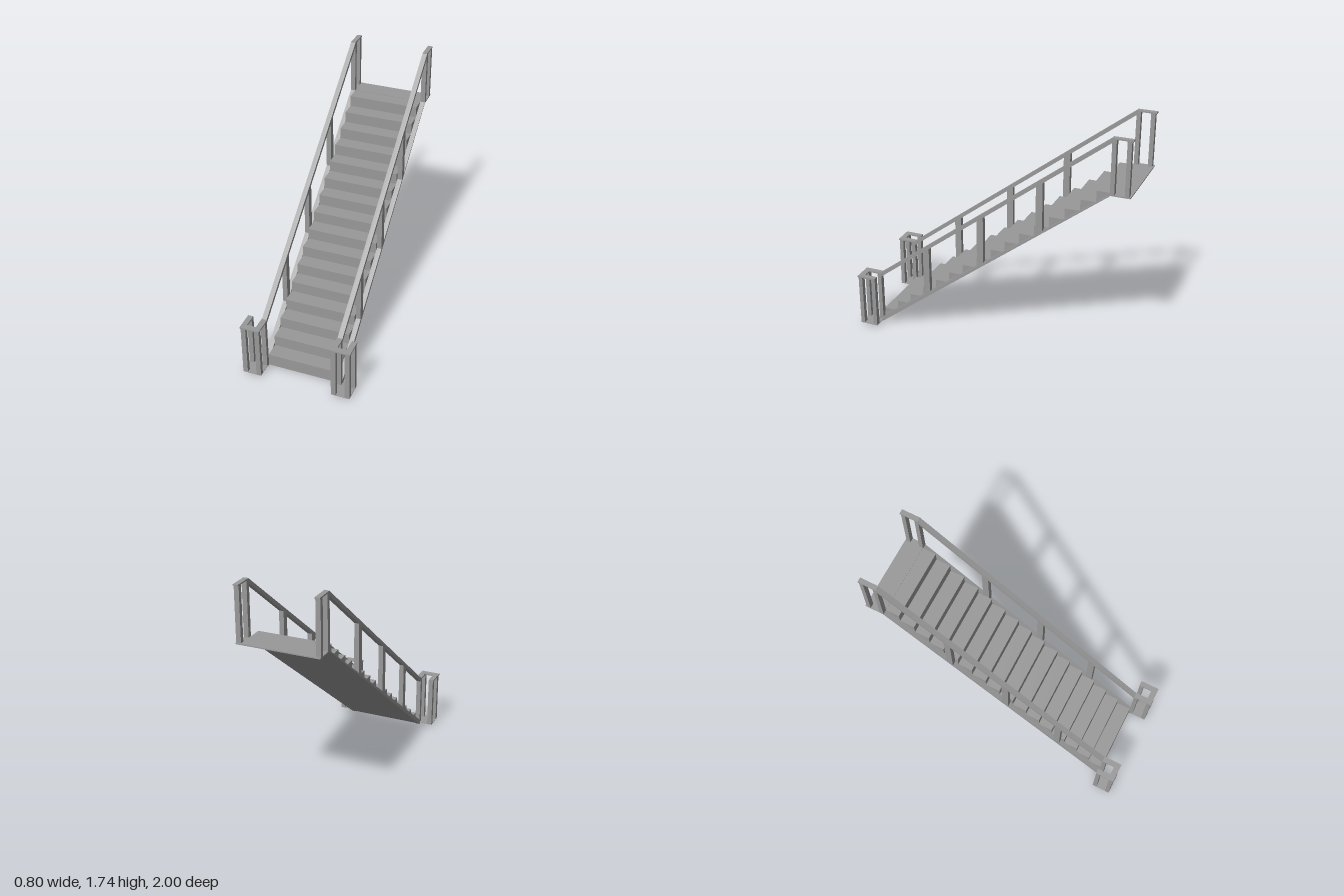
import * as THREE from 'three';

export function createModel() {
  const model = new THREE.Group();
  model.name = 'staircase';
  const grey = new THREE.MeshStandardMaterial({ color: 0x999999 });
  grey.name = 'grey';

  const RAIL_X = 0.2775, RAIL_W = 0.035, END = 0.865;
  const under = z => 0.002 + 0.77 * (END - z);   // sloping underside
  const railTop = z => 0.41 + 0.766 * (END - z); // top of the handrail

  function add(name, geometry, parent = model) {
    const mesh = new THREE.Mesh(geometry, grey);
    mesh.name = name;
    parent.add(mesh);
    return mesh;
  }
  // Extrudes a [z, y] side profile across x, centred on the given x
  function profile(name, points, x, width, parent) {
    const shape = new THREE.Shape(points.map(p => new THREE.Vector2(p[0], p[1])));
    const g = new THREE.ExtrudeGeometry(shape, { depth: width, bevelEnabled: false });
    g.translate(0, 0, -width / 2);
    g.rotateY(-Math.PI / 2);
    g.translate(x, 0, 0);
    return add(name, g, parent);
  }
  // Box from its extents
  function box(name, x0, x1, y0, y1, z0, z1, parent) {
    const g = new THREE.BoxGeometry(Math.abs(x1 - x0), y1 - y0, z1 - z0);
    g.translate((x0 + x1) / 2, (y0 + y1) / 2, (z0 + z1) / 2);
    return add(name, g, parent);
  }

  // Flight of steps: sawtooth above, one flat slope below
  const STEPS = 16, RUN = 0.108, RISE = 0.0828, FRONT = 0.86;
  const steps = [[FRONT, under(FRONT)]];
  for (let i = 0; i < STEPS; i++) {
    const y = 1.34 - (STEPS - 1 - i) * RISE;
    steps.push([FRONT - i * RUN, y]);
    steps.push([i < STEPS - 1 ? FRONT - (i + 1) * RUN : -0.87, y]);
  }
  steps.push([-0.87, 1.337]);
  profile('steps', steps, 0, 0.52);

  // Thin landing at the top
  box('landing', -0.295, 0.295, 1.334, 1.342, -1, -0.862);

  for (const s of [1, -1]) {
    const side = new THREE.Group();
    side.name = s > 0 ? 'leftRailing' : 'rightRailing';
    model.add(side);
    const x = s * RAIL_X, inner = s * 0.26, outer = s * 0.395;

    // Sloping stringer and handrail
    profile('stringer', [[END, 0], [0.89, 0.02], [0.87, 0.035],
      [-END, under(-END) + 0.008], [-END, under(-END)]], x, RAIL_W, side);
    profile('handrail', [[END, railTop(END)], [END, railTop(END) - 0.032],
      [-END, railTop(-END) - 0.032], [-END, railTop(-END)]], x, RAIL_W, side);

    // Middle posts cut to the slope
    for (const z of [0.485, 0.06, -0.375]) {
      const a = z + 0.024, b = z - 0.024;
      profile('middlePost', [[a, under(a) + 0.01], [b, under(b) + 0.01],
        [b, railTop(b) - 0.02], [a, railTop(a) - 0.02]], x, RAIL_W, side);
    }

    // Posts and rail cap on the landing
    for (const z of [-0.875, -0.975])
      box('landingPost', inner, s * 0.295, 1.34, 1.73, z - 0.015, z + 0.015, side);
    box('landingRailCap', inner, s * 0.295, 1.725, 1.735, -1, -0.862, side);

    // Four newel posts on a thin base plate
    for (const z of [0.876, 0.98]) {
      box('innerNewelPost', inner, s * 0.295, 0.018, 0.402, z - 0.015, z + 0.015, side);
      box('outerNewelPost', s * 0.36, outer, 0.018, 0.402, z - 0.015, z + 0.015, side);
    }
    box('newelBase', inner, outer, 0.015, 0.019, 0.862, 0.996, side);

    // U-shaped cap turning outwards at the foot of the stairs
    box('capInnerArm', s * 0.257, s * 0.297, 0.4, 0.411, 0.86, 0.957, side);
    box('capOuterArm', s * 0.362, s * 0.4, 0.4, 0.411, 0.86, 0.957, side);
    box('capFront', s * 0.257, s * 0.4, 0.4, 0.411, 0.957, 1, side);
  }
  return model;
}
